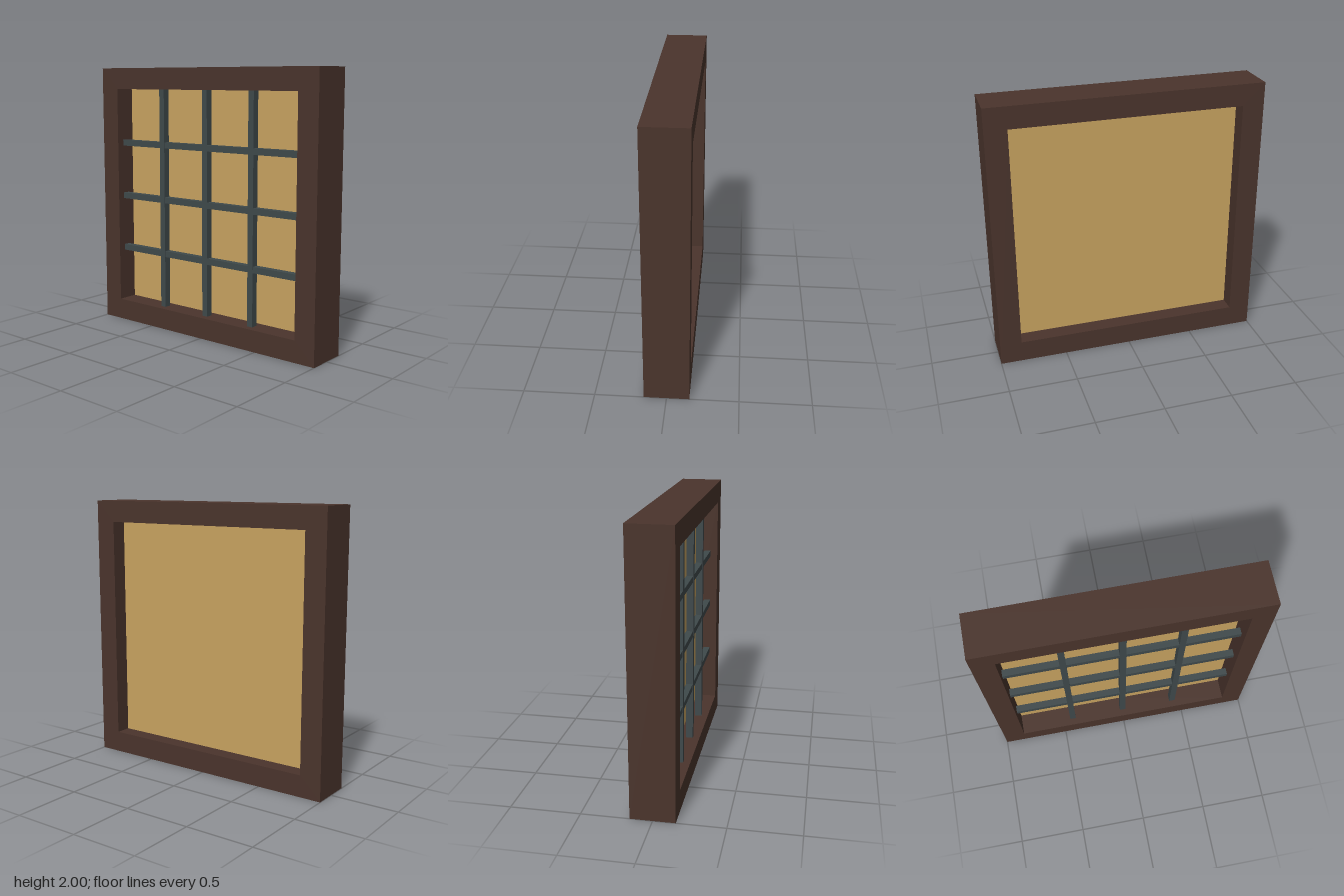
import * as THREE from 'three';

const mat = (name, color) => {
  const m = new THREE.MeshStandardMaterial({ color });
  m.name = name;
  return m;
};

export function createModel() {
  const model = new THREE.Group();
  model.name = 'window';
  const wood = mat('darkWood', 0x4a342c);
  const iron = mat('greyIron', 0x3f494b);
  const amber = mat('amberPane', 0xc8a360);

  const half = 1, inner = 0.84, depth = 0.316;
  const add = (name, geometry, material, x, y, z) => {
    const mesh = new THREE.Mesh(geometry, material);
    mesh.name = name;
    mesh.position.set(x, y, z);
    model.add(mesh);
  };

  // Square outline with its corners in order
  const square = (Type, r) => new Type([[-r, -r], [r, -r], [r, r], [-r, r]].map(([x, y]) => new THREE.Vector2(x, y)));

  // Deep frame around one opening
  const outline = square(THREE.Shape, half);
  outline.holes.push(square(THREE.Path, inner));
  add('frame', new THREE.ExtrudeGeometry(outline, { depth, bevelEnabled: false }), wood, 0, 1, -depth / 2);

  // Pane set in the middle of the frame
  add('pane', new THREE.BoxGeometry(inner * 2, inner * 2, 0.04), amber, 0, 1, -0.02);

  // Grid of bars standing clear of the pane
  const bar = 0.046;
  for (const offset of [-0.42, 0, 0.42]) {
    add('verticalBar', new THREE.BoxGeometry(bar, inner * 2, 0.052), iron, offset, 1, 0.08);
    add('horizontalBar', new THREE.BoxGeometry(inner * 2, bar, 0.05), iron, 0, 1 + offset, 0.078);
  }

  return model;
}
